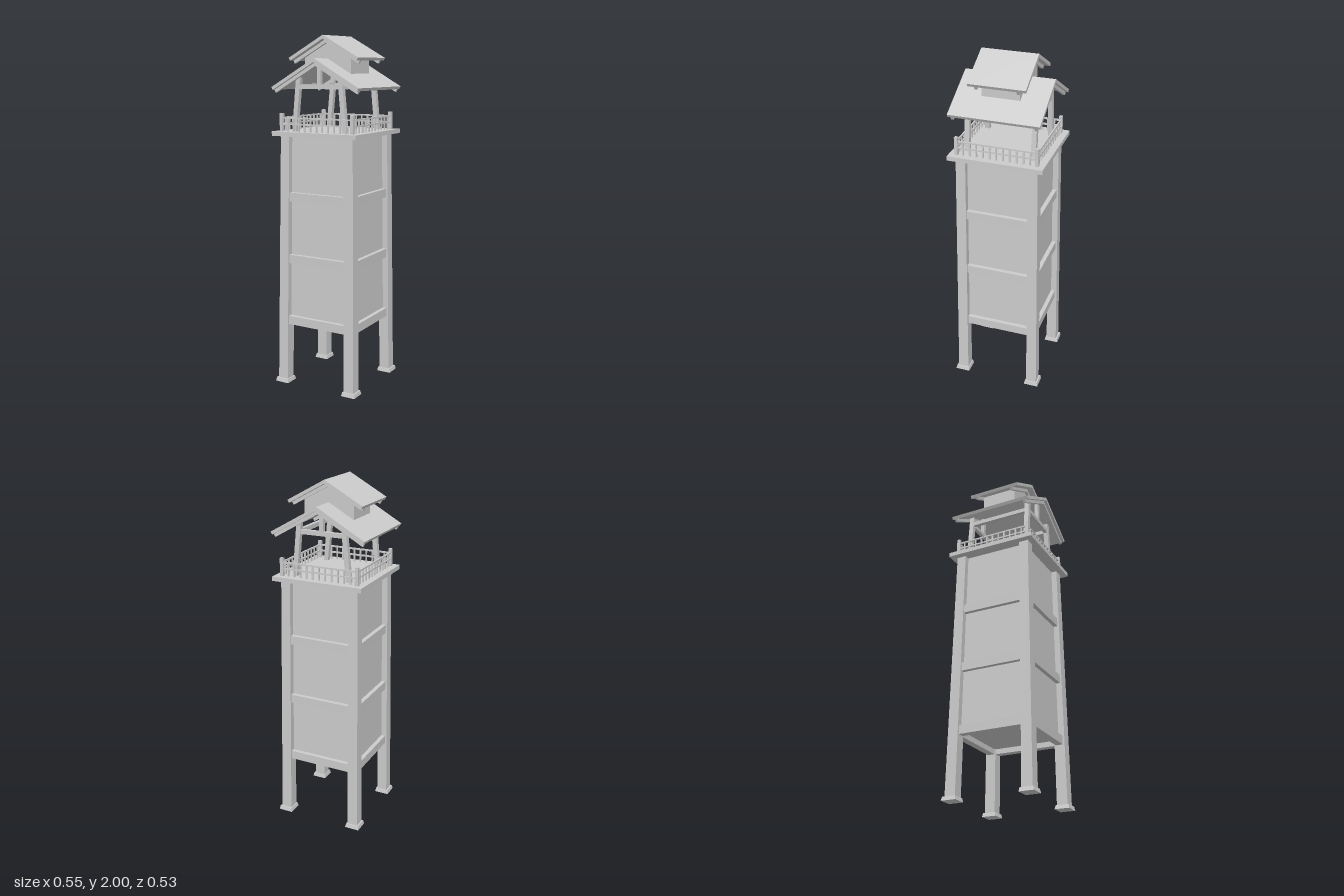
import * as THREE from 'three';

const material = new THREE.MeshStandardMaterial({ color: 0xcccccc, flatShading: true });

export function createModel() {
  const model = new THREE.Group();
  model.name = 'watchtower';

  const group = (name, parent = model) => {
    const g = new THREE.Group();
    g.name = name;
    parent.add(g);
    return g;
  };
  const add = (name, geometry, parent) => {
    const mesh = new THREE.Mesh(geometry, material);
    mesh.name = name;
    parent.add(mesh);
    return mesh;
  };
  const box = (name, parent, w, h, d, x, y, z) => {
    const mesh = add(name, new THREE.BoxGeometry(w, h, d), parent);
    mesh.position.set(x, y, z);
    return mesh;
  };
  // Upright four-sided post whose ends have their own centre and size: [x, y, z, w, d]
  const post = (name, parent, bottom, top) => {
    const geometry = new THREE.BoxGeometry(1, 1, 1);
    const p = geometry.attributes.position;
    for (let i = 0; i < p.count; i++) {
      const [x, y, z, w, d] = p.getY(i) > 0 ? top : bottom;
      p.setXYZ(i, x + p.getX(i) * w, y, z + p.getZ(i) * d);
    }
    geometry.computeVertexNormals();
    return add(name, geometry, parent);
  };
  const extrude = (name, parent, points, depth, z = 0) => {
    const shape = new THREE.Shape(points.map(([x, y]) => new THREE.Vector2(x, y)));
    const geometry = new THREE.ExtrudeGeometry(shape, { depth, bevelEnabled: false });
    geometry.translate(0, 0, z - depth / 2);
    return add(name, geometry, parent);
  };

  const sides = [-1, 1];
  const deckBottom = 1.45, deckTop = 1.475;
  // Distance of the leg centre from the axis at height y
  const legCentre = (y) => 0.2205 - 0.0175 * y / deckBottom;

  // Tapering legs on flared feet
  const legs = group('legs');
  for (const sx of sides) for (const sz of sides) {
    const b = legCentre(0), t = legCentre(deckBottom);
    post('leg', legs, [sx * b, 0.003, sz * b, 0.062, 0.062],
      [sx * t, deckBottom, sz * t, 0.055, 0.055]);
    post('foot', legs, [sx * 0.222, 0, sz * 0.222, 0.085, 0.085],
      [sx * 0.222, 0.022, sz * 0.222, 0.076, 0.076]);
  }

  // Panelled shaft, set back behind the beams
  const panelSize = (y) => 2 * (legCentre(y) - 0.005);
  post('shaftPanels', model, [0, 0.385, 0, panelSize(0.385), panelSize(0.385)],
    [0, deckBottom, 0, panelSize(deckBottom), panelSize(deckBottom)]);

  // Three rings of cross beams
  const beams = group('crossBeams');
  for (const y of [0.38, 0.745, 1.105]) {
    const c = legCentre(y);
    for (const s of sides) {
      box('crossBeam', beams, 2 * c, 0.05, 0.042, 0, y, s * (c - 0.002));
      box('crossBeam', beams, 0.042, 0.05, 2 * c, s * (c - 0.002), y, 0);
    }
  }

  // Lookout deck
  box('deck', model, 0.534, deckTop - deckBottom, 0.534, 0, (deckTop + deckBottom) / 2, 0);

  // Lattice railing, one run turned to each side
  const railing = group('railing');
  for (let k = 0; k < 4; k++) {
    const run = group('railingSide', railing);
    run.rotation.y = k * Math.PI / 2;
    box('railPost', run, 0.019, 0.1, 0.019, 0.225, deckTop + 0.05, 0.225);
    for (const y of [1.515, 1.55]) box('rail', run, 0.45, 0.009, 0.009, 0, y, 0.225);
    for (let i = -5; i <= 5; i++) {
      box('baluster', run, 0.008, 0.075, 0.008, i * 0.0375, deckTop + 0.0375, 0.225);
    }
  }

  // Leaning posts and ties that carry the roof
  const frame = group('roofFrame');
  for (const s of sides) {
    for (const sx of sides) {
      post('roofPost', frame, [sx * 0.161, deckTop, s * 0.187, 0.027, 0.027],
        [sx * 0.132, 1.77, s * 0.187, 0.027, 0.027]);
    }
    box('tieBeam', frame, 0.27, 0.024, 0.022, 0, 1.722, s * 0.187);
    box('sidePlate', frame, 0.022, 0.024, 0.374, s * 0.137, 1.722, 0);
    box('kingPost', frame, 0.024, 0.11, 0.022, 0, 1.785, s * 0.187);
  }

  // Chevron band following a gable: apex height, half width, slope, thickness
  const chevron = (apex, half, slope, t) => {
    const angle = Math.atan(slope);
    const drop = t / Math.cos(angle);
    const xi = half - t * Math.sin(angle);
    const edge = apex - half * slope;
    const low = edge - t * Math.cos(angle);
    return [[0, apex], [-half, edge], [-xi, low], [0, apex - drop], [xi, low], [half, edge]];
  };
  // Gabled roof: a slab with a pair of rafters beneath
  const roof = (name, apex, half, slope, depth, rafterZ) => {
    const g = group(name);
    const t = 0.018;
    extrude('roofSlab', g, chevron(apex, half, slope, t), depth);
    const angle = Math.atan(slope);
    const points = chevron(apex - t / Math.cos(angle), half - t * Math.sin(angle), slope, t);
    for (const s of sides) extrude('rafters', g, points, 0.016, s * rafterZ);
  };
  roof('lowerRoof', 1.875, 0.276, 0.565, 0.502, 0.227);
  roof('upperRoof', 2.0, 0.221, 0.55, 0.316, 0.114);

  // Small gabled storey between the two roofs
  extrude('lanternWalls', model,
    [[-0.147, 1.785], [0, 1.865], [0.147, 1.785], [0.147, 1.895], [0, 1.976], [-0.147, 1.895]], 0.21);

  return model;
}
